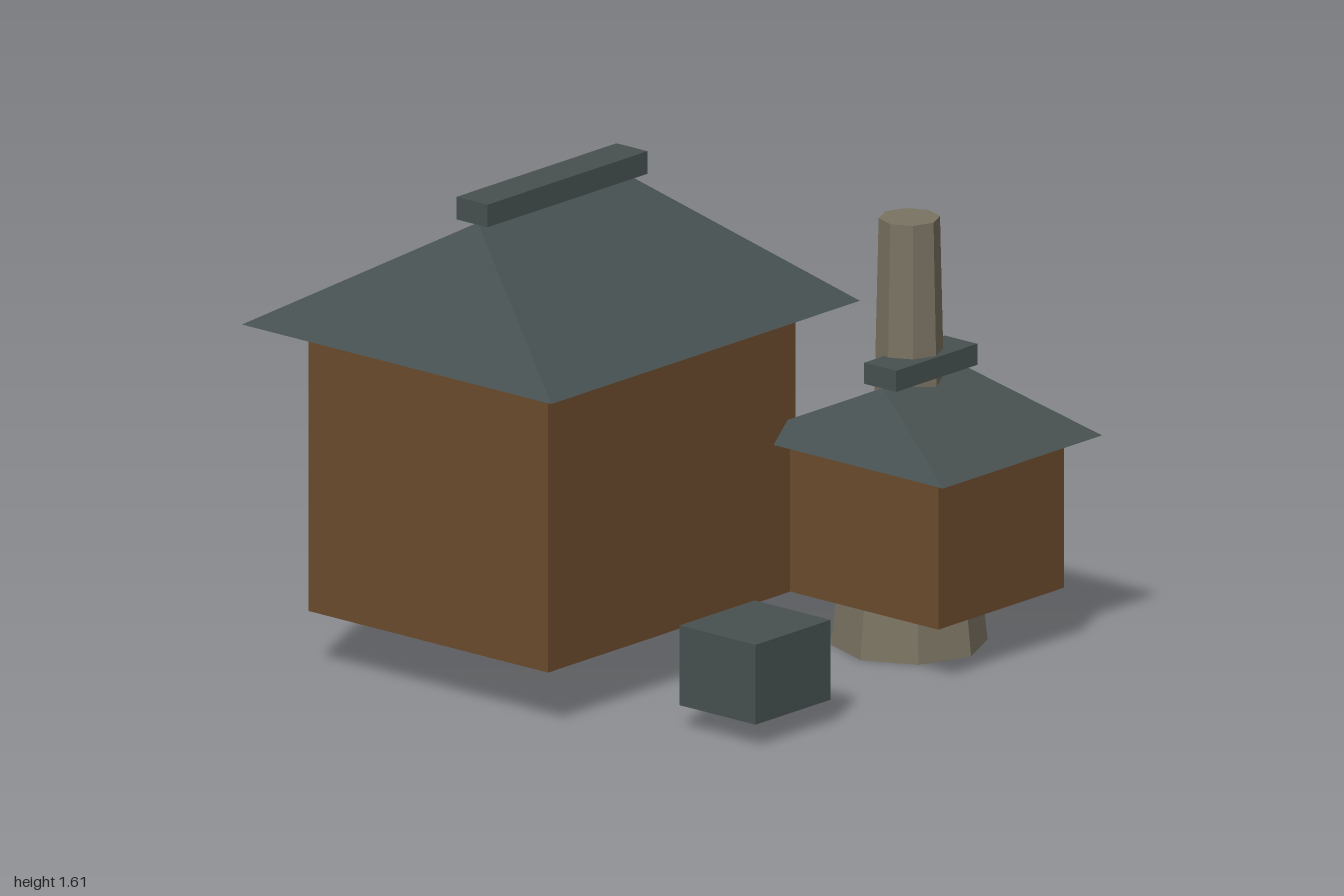
import * as THREE from 'three';

const material = (name, color) => {
  const m = new THREE.MeshStandardMaterial({ color, side: THREE.DoubleSide, flatShading: true });
  m.name = name;
  return m;
};

// Box without its underside, given as min/max ranges
function openBox([x0, x1], [y0, y1], [z0, z1]) {
  const g = new THREE.BoxGeometry(x1 - x0, y1 - y0, z1 - z0);
  const index = Array.from(g.index.array);
  index.splice(18, 6);
  g.setIndex(index);
  g.clearGroups();
  return g.translate((x0 + x1) / 2, (y0 + y1) / 2, (z0 + z1) / 2);
}

// Four hipped slopes rising from the eaves to a ridge along x, open below
function hipRoof([x0, x1], [y0, y1], [z0, z1], [r0, r1]) {
  const zm = (z0 + z1) / 2;
  const A = [x0, y0, z1], B = [x1, y0, z1], C = [x1, y0, z0], D = [x0, y0, z0];
  const R0 = [r0, y1, zm], R1 = [r1, y1, zm];
  const corners = [A, B, R1, A, R1, R0, B, C, R1, C, D, R0, C, R0, R1, D, A, R0];
  const g = new THREE.BufferGeometry();
  g.setAttribute('position', new THREE.Float32BufferAttribute(corners.flat(), 3));
  g.computeVertexNormals();
  return g;
}

export function createModel() {
  const wood = material('brown wood', 0x6a4b2c);
  const slate = material('grey slate', 0x475050);
  const stone = material('weathered stone', 0x7a7362);
  const root = new THREE.Group();
  root.name = 'farmBuildings';

  const add = (parent, name, geometry, mat) => {
    const mesh = new THREE.Mesh(geometry, mat);
    mesh.name = name;
    parent.add(mesh);
    return mesh;
  };

  // A building: walls, hipped roof and ridge cap
  const building = (name, s) => {
    const group = new THREE.Group();
    group.name = name;
    add(group, 'walls', openBox(...s.walls), wood);
    add(group, 'roof', hipRoof(...s.roof), slate);
    add(group, 'ridgeCap', openBox(...s.cap), slate);
    root.add(group);
  };
  building('mainHouse', {
    walls: [[-0.85, 0.34], [0.19, 1.145], [-0.79, 0.22]],
    roof: [[-1, 0.485], [1.145, 1.525], [-0.94, 0.365], [-0.61, 0.1]],
    cap: [[-0.64, 0.13], [1.53, 1.605], [-0.35, -0.22]],
  });
  building('smallHouse', {
    walls: [[0.315, 0.92], [0.19, 0.695], [0.18, 0.845]],
    roof: [[0.235, 1], [0.695, 0.895], [0.075, 0.935], [0.435, 0.8]],
    cap: [[0.42, 0.81], [0.9, 0.97], [0.44, 0.575]],
  });

  // Eight-sided stone footing and the chimney rising above it
  const tapered = (name, top, bottom, y0, y1) => {
    const g = new THREE.CylinderGeometry(top, bottom, y1 - y0, 8).toNonIndexed();
    g.rotateY(0.05);
    add(root, name, g, stone).position.set(0.62, (y0 + y1) / 2, 0.455);
  };
  tapered('footing', 0.2, 0.25, 0, 0.45);
  tapered('chimney', 0.098, 0.12, 0.45, 1.41);

  // Separate block in front of the main house
  add(root, 'block', openBox([-0.57, -0.21], [0.08, 0.345], [0.53, 0.85]), slate);

  return root;
}
